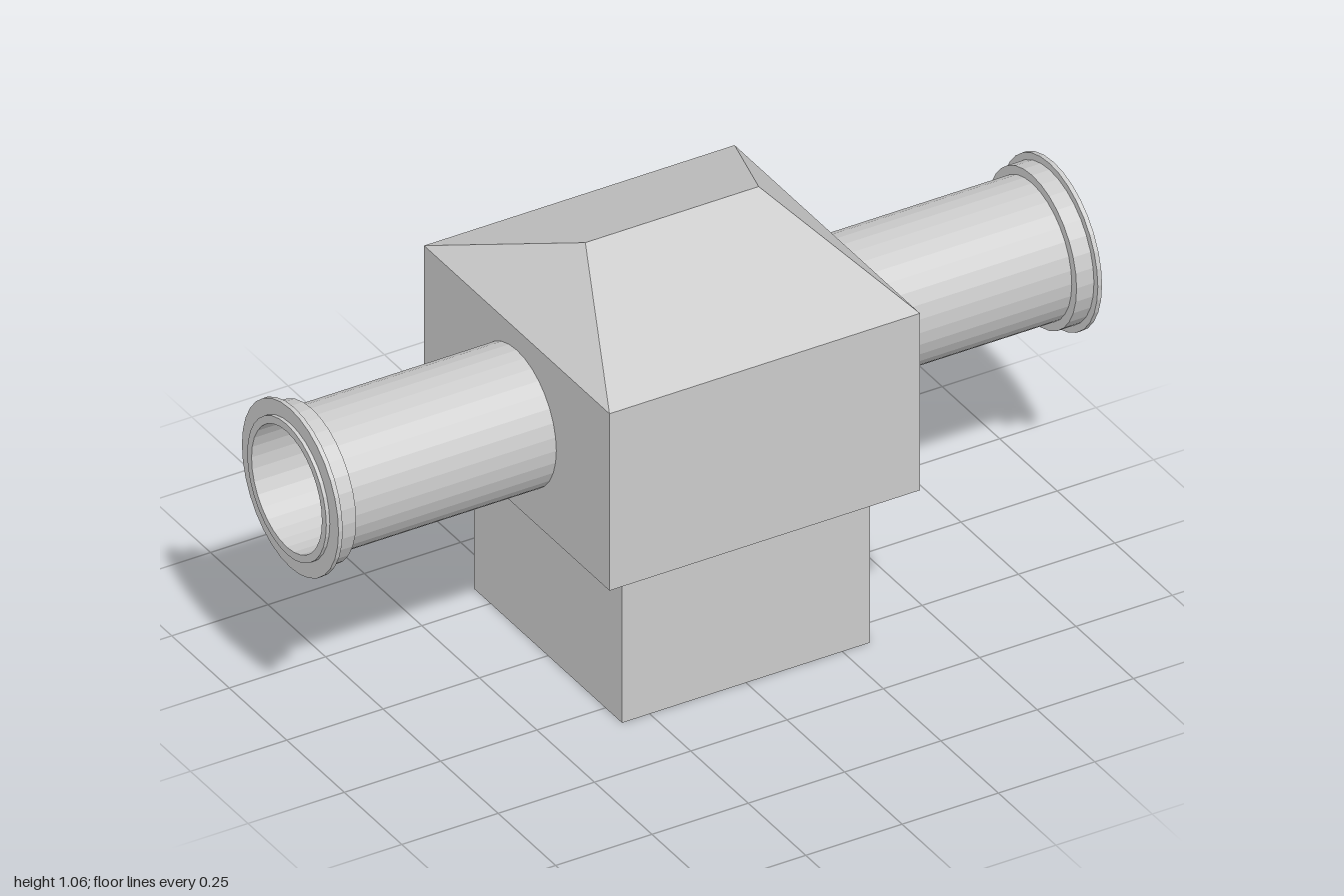
import * as THREE from 'three';

const material = new THREE.MeshStandardMaterial({ color: 0xcccccc, flatShading: true });
const SIDES = 32;
const PIPE_Y = 0.665;

// Walls between two rectangles [halfX, y, halfZ]; optional bottom cap
function frustum(name, lower, upper, capBottom = false) {
  const ring = ([x, y, z]) => [[-x, y, z], [x, y, z], [x, y, -z], [-x, y, -z]];
  const a = ring(lower), b = ring(upper);
  const pos = [];
  const tri = (p, q, r) => pos.push(...p, ...q, ...r);
  for (let i = 0; i < 4; i++) {
    const j = (i + 1) % 4;
    tri(a[i], a[j], b[j]);
    // the hip ends of a ridge need only one triangle
    if (b[i].some((v, k) => v !== b[j][k])) tri(a[i], b[j], b[i]);
  }
  if (capBottom) {
    tri(a[0], a[2], a[1]);
    tri(a[0], a[3], a[2]);
  }
  const geo = new THREE.BufferGeometry();
  geo.setAttribute('position', new THREE.Float32BufferAttribute(pos, 3));
  geo.computeVertexNormals();
  const mesh = new THREE.Mesh(geo, material);
  mesh.name = name;
  return mesh;
}

// Closed ring section turned around the pipe axis (local y)
function tube(name, inner, outer, from, to) {
  const profile = [[inner, from], [outer, from], [outer, to], [inner, to], [inner, from]];
  const geo = new THREE.LatheGeometry(profile.map(([r, y]) => new THREE.Vector2(r, y)), SIDES);
  const mesh = new THREE.Mesh(geo, material);
  mesh.name = name;
  return mesh;
}

// Open pipe with a collar and a thin flange near its mouth
function makePipe(name, side) {
  const pipe = new THREE.Group();
  pipe.name = name;
  pipe.add(
    tube('pipeWall', 0.153, 0.172, 0.39, 1.0),
    tube('collar', 0.165, 0.193, 0.935, 0.982),
    tube('flange', 0.165, 0.21, 0.98, 0.991),
  );
  pipe.rotation.z = -side * Math.PI / 2;
  pipe.position.y = PIPE_Y;
  return pipe;
}

export function createModel() {
  const model = new THREE.Group();
  model.name = 'pipeJunction';

  // Square housing from foot to hipped top
  const foot = [0.322, 0, 0.322];
  const neck = [0.322, 0.37, 0.322];
  const shoulder = [0.403, 0.422, 0.403];
  const eaves = [0.403, 0.891, 0.403];
  const ridge = [0.225, 1.063, 0];
  model.add(
    frustum('base', foot, neck, true),
    frustum('flare', neck, shoulder),
    frustum('body', shoulder, eaves),
    frustum('hippedTop', eaves, ridge),
  );

  // Pipe on each side
  model.add(makePipe('leftPipe', 1), makePipe('rightPipe', -1));
  return model;
}
